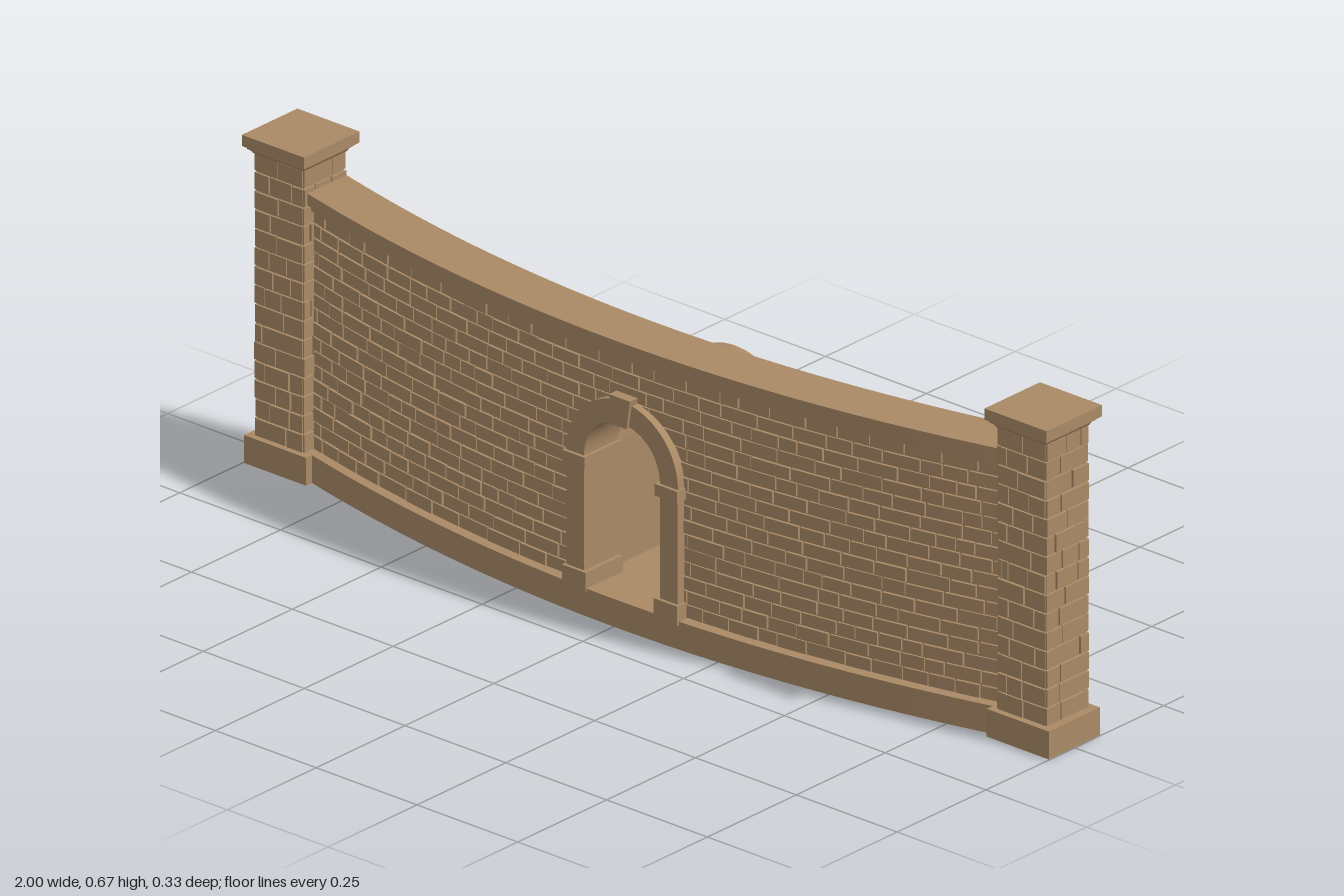
import * as THREE from 'three';
import { mergeGeometries } from 'three/addons/utils/BufferGeometryUtils.js';

const CX = 0.016;        // door centre
const SPRING = 0.325;    // height where the door arch starts
const bow = (x) => 0.108 - 0.11 * (x / 0.85) ** 2;   // plan curve of the wall

export function createModel() {
  const model = new THREE.Group();
  const stone = new THREE.MeshStandardMaterial({ color: 0xaa8a66 });
  stone.name = 'tan stone';

  let seed = 7;
  const rand = () => (seed = (seed * 16807) % 2147483647) / 2147483647;

  const add = (name, geometry, parent = model) => {
    const mesh = new THREE.Mesh(geometry, stone);
    mesh.name = name;
    parent.add(mesh);
    return mesh;
  };
  const box = (x0, x1, y0, y1, z0, z1) =>
    new THREE.BoxGeometry(x1 - x0, y1 - y0, z1 - z0)
      .translate((x0 + x1) / 2, (y0 + y1) / 2, (z0 + z1) / 2);

  // Box bent along the plan curve; its underside may follow a function of x
  const band = (x0, x1, bottom, top, half, n = 48) => {
    const g = new THREE.BoxGeometry(x1 - x0, 1, 1, n, 1, 1);
    const p = g.attributes.position;
    for (let i = 0; i < p.count; i++) {
      const x = p.getX(i) + (x0 + x1) / 2;
      const low = typeof bottom === 'function' ? bottom(x) : bottom;
      p.setXYZ(i, x, p.getY(i) < 0 ? low : top, bow(x) + Math.sign(p.getZ(i)) * half);
    }
    g.computeVertexNormals();
    return g;
  };

  // Courses of uneven stones; place(u) gives position and turn on the face
  const bricks = (y0, y1, rows, length, spansAt, place) => {
    const list = [];
    const h = (y1 - y0) / rows;
    for (let r = 0; r < rows; r++) {
      const y = y0 + (r + 0.5) * h;
      for (const [start, end] of spansAt(y)) {
        let u = start;
        let first = true;
        while (u < end - 0.002) {
          let w = length * (0.6 + 0.8 * rand()) * (first && r % 2 ? 0.5 : 1);
          if (end - u - w < length * 0.35) w = end - u;
          first = false;
          const depth = 0.010 + 0.003 * rand();
          const g = new THREE.BoxGeometry(w - 0.0015, h - 0.001 - 0.002 * rand(), depth);
          const p = g.attributes.position;
          for (let i = 0; i < p.count; i++) {
            if (p.getZ(i) > 0) p.setXY(i, p.getX(i) * (1 - 0.0015 / w), p.getY(i) * 0.95);
          }
          g.computeVertexNormals();
          const at = place(u + w / 2);
          g.translate(0, 0, depth / 2 - 0.007).rotateY(at.turn).translate(at.x, y, at.z);
          list.push(g);
          u += w;
        }
      }
    }
    return mergeGeometries(list);
  };

  // Curved wall core, with an arched gap for the door
  const gap = 0.11;
  const archLine = (x) => SPRING + Math.sqrt(Math.max(0, gap * gap - (x - CX) ** 2));
  add('wallCore', mergeGeometries([
    band(-0.88, CX - gap, 0.05, 0.55, 0.031),
    band(CX + gap, 0.88, 0.05, 0.55, 0.031),
    band(CX - gap, CX + gap, archLine, 0.55, 0.031),
  ]));

  // Stone courses on both wall faces, stopping behind the door frame
  const wallSpans = (y) => {
    const R = 0.125;
    const rise = Math.max(0, y - SPRING);
    if (rise >= R) return [[-0.87, 0.87]];
    const w = Math.sqrt(R * R - rise * rise);
    return [[-0.87, CX - w], [CX + w, 0.87]];
  };
  for (const side of [1, -1]) {
    add(side > 0 ? 'frontStones' : 'backStones',
      bricks(0.057, 0.548, 17, 0.065, wallSpans, (x) => ({
        x,
        z: bow(x) + side * 0.031,
        turn: Math.atan(0.22 * x / 0.7225) + (side > 0 ? 0 : Math.PI),
      })));
  }

  // Plinth and two-step coping
  add('wallPlinth', band(-0.87, 0.87, 0, 0.057, 0.055));
  add('copingMoulding', band(-0.87, 0.87, 0.547, 0.563, 0.044));
  add('coping', band(-0.87, 0.87, 0.563, 0.587, 0.055));

  // End pillars
  for (const side of [1, -1]) {
    const pillar = new THREE.Group();
    pillar.name = side > 0 ? 'leftPillar' : 'rightPillar';
    pillar.position.x = side * 0.921;
    model.add(pillar);
    add('pillarBase', box(-0.077, 0.077, 0, 0.057, -0.073, 0.071), pillar);
    add('pillarCore', box(-0.057, 0.057, 0.05, 0.645, -0.056, 0.056), pillar);
    const faces = [0, 1, 2, 3].map((k) => {
      const turn = k * Math.PI / 2;
      return bricks(0.057, 0.637, 15, 0.06, () => [[-0.06, 0.06]], (u) => ({
        x: Math.cos(turn) * u + Math.sin(turn) * 0.057,
        z: -Math.sin(turn) * u + Math.cos(turn) * 0.056,
        turn,
      }));
    });
    add('pillarStones', mergeGeometries(faces), pillar);
    // Flared neck under the cap
    const neck = new THREE.CylinderGeometry(0.07 * Math.SQRT2, 0.061 * Math.SQRT2, 0.014, 4, 1)
      .rotateY(Math.PI / 4).toNonIndexed();
    neck.computeVertexNormals();
    add('capNeck', neck.translate(0, 0.642, 0), pillar);
    add('capMoulding', box(-0.07, 0.07, 0.645, 0.652, -0.071, 0.071), pillar);
    add('pillarCap', box(-0.077, 0.077, 0.651, 0.674, -0.079, 0.077), pillar);
  }

  // Door frame
  const frame = new THREE.Group();
  frame.name = 'doorFrame';
  frame.position.x = CX;
  model.add(frame);
  for (const s of [1, -1]) {
    const part = (name, inner, outer, y0, y1, z1) =>
      add(name, box(Math.min(s * inner, s * outer), Math.max(s * inner, s * outer), y0, y1, 0.06, z1), frame);
    part('jambFoot', 0.084, 0.143, 0.05, 0.09, 0.165);
    part('jamb', 0.094, 0.138, 0.085, 0.305, 0.158);
    part('jambCapital', 0.087, 0.143, 0.301, SPRING, 0.165);
  }
  const ring = new THREE.Shape();
  ring.absarc(0, SPRING, 0.139, 0, Math.PI, false);
  ring.absarc(0, SPRING, 0.094, Math.PI, 0, true);
  add('doorArch', new THREE.ExtrudeGeometry(ring,
    { depth: 0.098, bevelEnabled: false, curveSegments: 24 }).translate(0, 0, 0.06), frame);
  const key = new THREE.Shape([[-0.017, 0.415], [0.017, 0.415], [0.026, 0.474], [-0.026, 0.474]]
    .map(([x, y]) => new THREE.Vector2(x, y)));
  add('keystone', new THREE.ExtrudeGeometry(key,
    { depth: 0.085, bevelEnabled: false }).translate(0, 0, 0.08), frame);

  // Vaulted recess behind the door: hollow body, overhanging vault, back and floor
  const niche = new THREE.Group();
  niche.name = 'niche';
  niche.position.x = 0.013;
  model.add(niche);
  for (const s of [1, -1]) {
    add('nicheSide', box(Math.min(s * 0.118, s * 0.139), Math.max(s * 0.118, s * 0.139), 0.003, 0.31, -0.163, 0.085), niche);
  }
  const lip = 0.16;
  const vault = new THREE.Shape();
  vault.absarc(0, 0.323, 0.1435, -lip, Math.PI + lip, false);
  vault.absarc(0, 0.323, 0.119, Math.PI + lip, -lip, true);
  add('nicheVault', new THREE.ExtrudeGeometry(vault,
    { depth: 0.25, bevelEnabled: false, curveSegments: 28 }).translate(0, 0, -0.165), niche);
  const back = new THREE.Shape();
  back.moveTo(0.125, 0.003);
  back.lineTo(0.125, 0.323);
  back.absarc(0, 0.323, 0.125, 0, Math.PI, false);
  back.lineTo(-0.125, 0.003);
  add('nicheBack', new THREE.ExtrudeGeometry(back,
    { depth: 0.015, bevelEnabled: false, curveSegments: 24 }).translate(0, 0, -0.1625), niche);
  add('nicheFloor', box(-0.12, 0.12, 0.003, 0.05, -0.155, 0.1), niche);

  return model;
}
